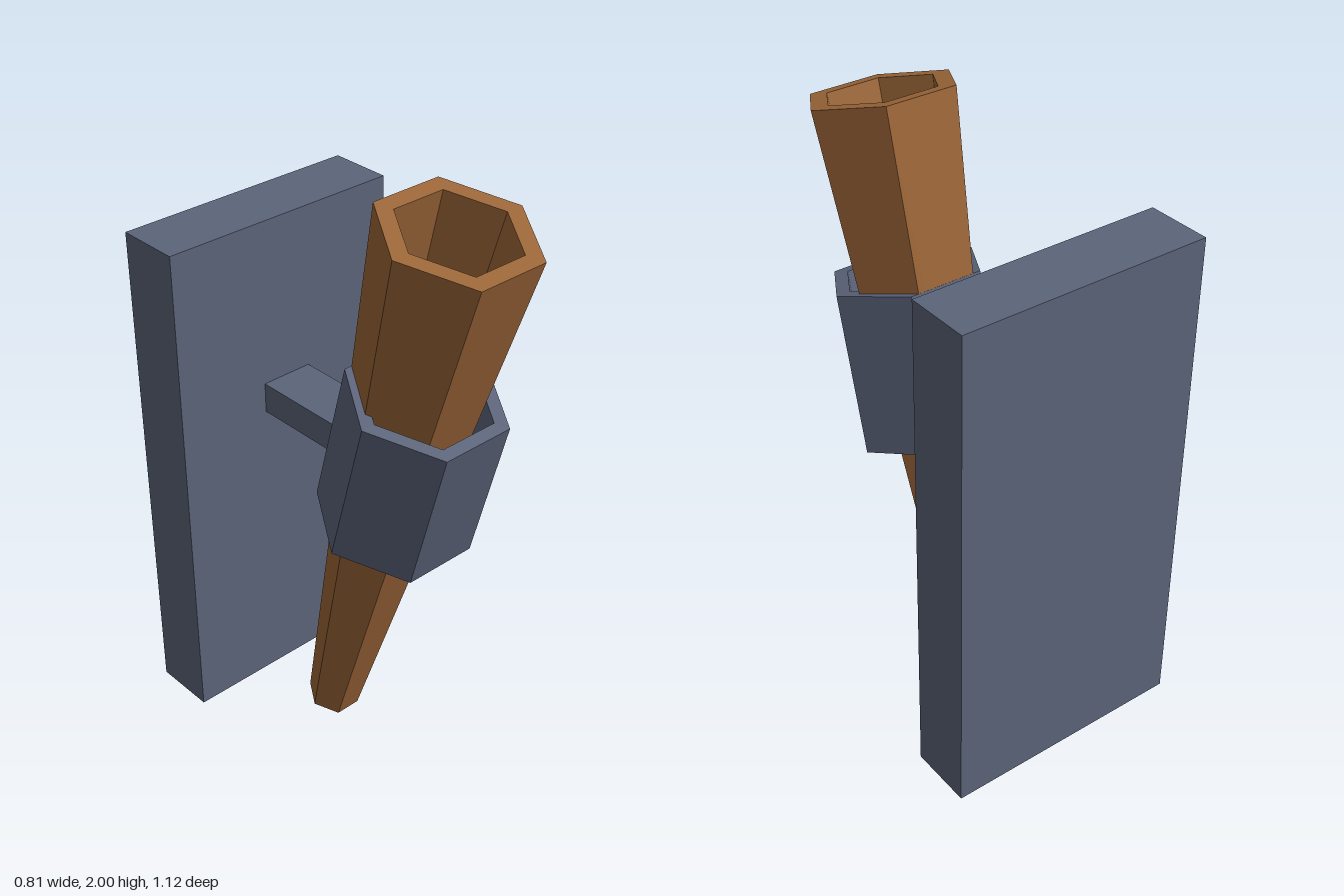
import * as THREE from 'three';

const TILT = THREE.MathUtils.degToRad(15);
const wood = new THREE.MeshStandardMaterial({ color: 0x9c6638, flatShading: true });
const iron = new THREE.MeshStandardMaterial({ color: 0x5c647a, flatShading: true });

// Six-sided turned part with corners on the x axis, leaning towards +z
function hexPart(name, profile, material, y, z) {
  const points = profile.map(([r, h]) => new THREE.Vector2(r, h));
  const mesh = new THREE.Mesh(new THREE.LatheGeometry(points, 6, Math.PI / 2), material);
  mesh.name = name;
  mesh.position.set(0, y, z);
  mesh.rotation.x = TILT;
  return mesh;
}

// Box given by its size and its limits in y and z
function boxPart(name, width, [y0, y1], [z0, z1], material) {
  const mesh = new THREE.Mesh(new THREE.BoxGeometry(width, y1 - y0, z1 - z0), material);
  mesh.name = name;
  mesh.position.set(0, (y0 + y1) / 2, (z0 + z1) / 2);
  return mesh;
}

export function createModel() {
  const group = new THREE.Group();
  group.name = 'wallTorch';

  // Wall plate and the arm that carries the holder
  group.add(boxPart('wallPlate', 0.81, [0.09, 1.75], [-0.56, -0.35], iron));
  group.add(boxPart('supportArm', 0.176, [1.11, 1.21], [-0.36, -0.005], iron));

  // Open hexagonal holder, set slightly forward of the torch axis
  const half = 0.254;
  group.add(hexPart('holderRing', [
    [0.2, -half], [0.247, -half], [0.247, half], [0.2, half], [0.2, -half],
  ], iron, 1.155, 0.199));

  // Tapered torch, hollow from the top
  group.add(hexPart('torch', [
    [0, 0], [0.087, 0], [0.237, 1.993], [0.18, 1.993], [0.07, 0.1], [0, 0.1],
  ], wood, 0.023, -0.15));

  return group;
}
